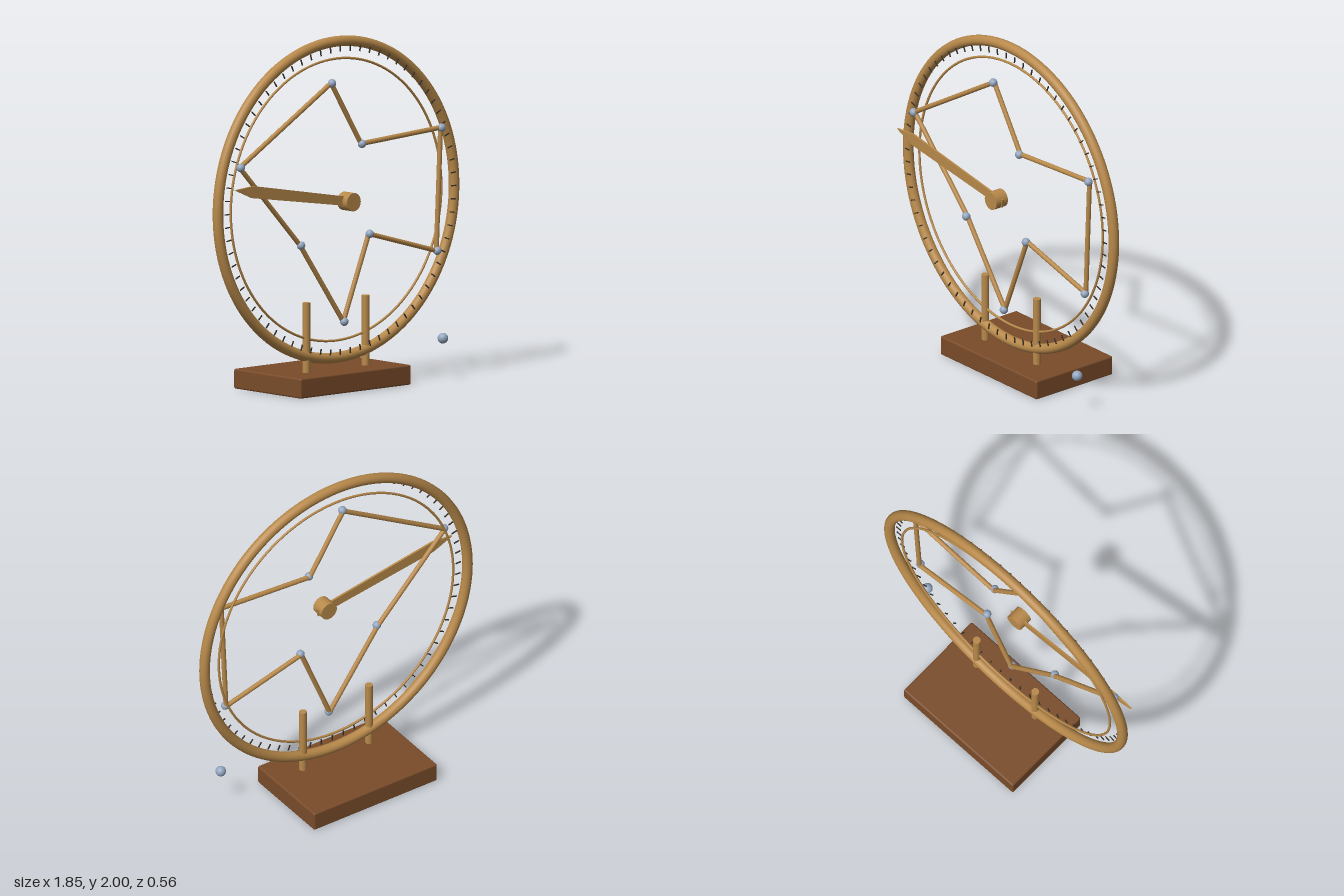
import * as THREE from 'three';
import { RoundedBoxGeometry } from 'three/addons/geometries/RoundedBoxGeometry.js';

export function createModel() {
  const group = new THREE.Group();
  const material = (name, color) => {
    const m = new THREE.MeshStandardMaterial({ color });
    m.name = name;
    return m;
  };
  const brass = material('brass', 0xb8894a);
  const wood = material('wood', 0x7a4c2a);
  const pearl = material('blue grey', 0x94a7c0);
  const ink = material('dark grey', 0x38322c);

  const add = (name, geometry, mat, x = 0, y = 0, z = 0) => {
    const mesh = new THREE.Mesh(geometry, mat);
    mesh.name = name;
    mesh.position.set(x, y, z);
    group.add(mesh);
    return mesh;
  };

  const cy = 1.073; // height of the dial centre
  const ringZ = 0.113;

  // Stand: wooden base and two posts
  add('base', new RoundedBoxGeometry(0.84, 0.113, 0.56, 2, 0.01), wood, 0, 0.0565, 0);
  for (const side of [-1, 1]) {
    add('post', new THREE.CylinderGeometry(0.022, 0.022, 0.41, 20), brass, side * 0.225, 0.305, ringZ);
  }

  // Dial rings
  add('outerRing', new THREE.TorusGeometry(0.896, 0.03, 20, 128), brass, 0, cy, ringZ);
  add('innerRing', new THREE.TorusGeometry(0.799, 0.007, 10, 128), brass, 0, cy, ringZ);

  // Scale marks just inside the outer ring
  const ticks = 72;
  const tickGeometry = new THREE.BoxGeometry(0.034, 0.006, 0.006);
  for (let i = 0; i < ticks; i++) {
    const a = (i / ticks) * Math.PI * 2;
    const tick = add('tick', tickGeometry, ink, Math.cos(a) * 0.86, cy + Math.sin(a) * 0.86, 0.15);
    tick.rotation.z = a;
  }

  // Star outline: rods joined by beads
  const corners = [
    [-0.085, 1.746], [0.143, 1.381], [0.746, 1.415], [0.714, 0.72],
    [0.201, 0.865], [0.008, 0.386], [-0.32, 0.849], [-0.778, 1.333],
  ];
  const beadGeometry = new THREE.SphereGeometry(0.024, 20, 14);
  corners.forEach(([x, y], i) => {
    const [nx, ny] = corners[(i + 1) % corners.length];
    const length = Math.hypot(nx - x, ny - y);
    const rod = add('starRod', new THREE.CylinderGeometry(0.014, 0.014, length, 14), brass,
      (x + nx) / 2, (y + ny) / 2, 0.165);
    rod.rotation.z = Math.atan2(ny - y, nx - x) - Math.PI / 2;
    add('starBead', beadGeometry, pearl, x, y, 0.173);
  });

  // Loose bead below the ring
  add('looseBead', new THREE.SphereGeometry(0.03, 24, 16), pearl, 0.709, 0.23, 0.225);

  // Hub and pointer
  const hub = add('hub', new THREE.CylinderGeometry(0.052, 0.052, 0.083, 32), brass, 0, cy, 0.221);
  hub.rotation.x = Math.PI / 2;

  const blade = new THREE.Shape([
    [-0.055, -0.025], [0.74, -0.034], [0.875, 0], [0.74, 0.034], [-0.055, 0.025],
  ].map(([x, y]) => new THREE.Vector2(x, y)));
  const pointer = add('pointer',
    new THREE.ExtrudeGeometry(blade, { depth: 0.012, bevelEnabled: false }), brass, 0, cy, 0.213);
  pointer.rotation.z = Math.PI * 170.4 / 180;

  return group;
}
